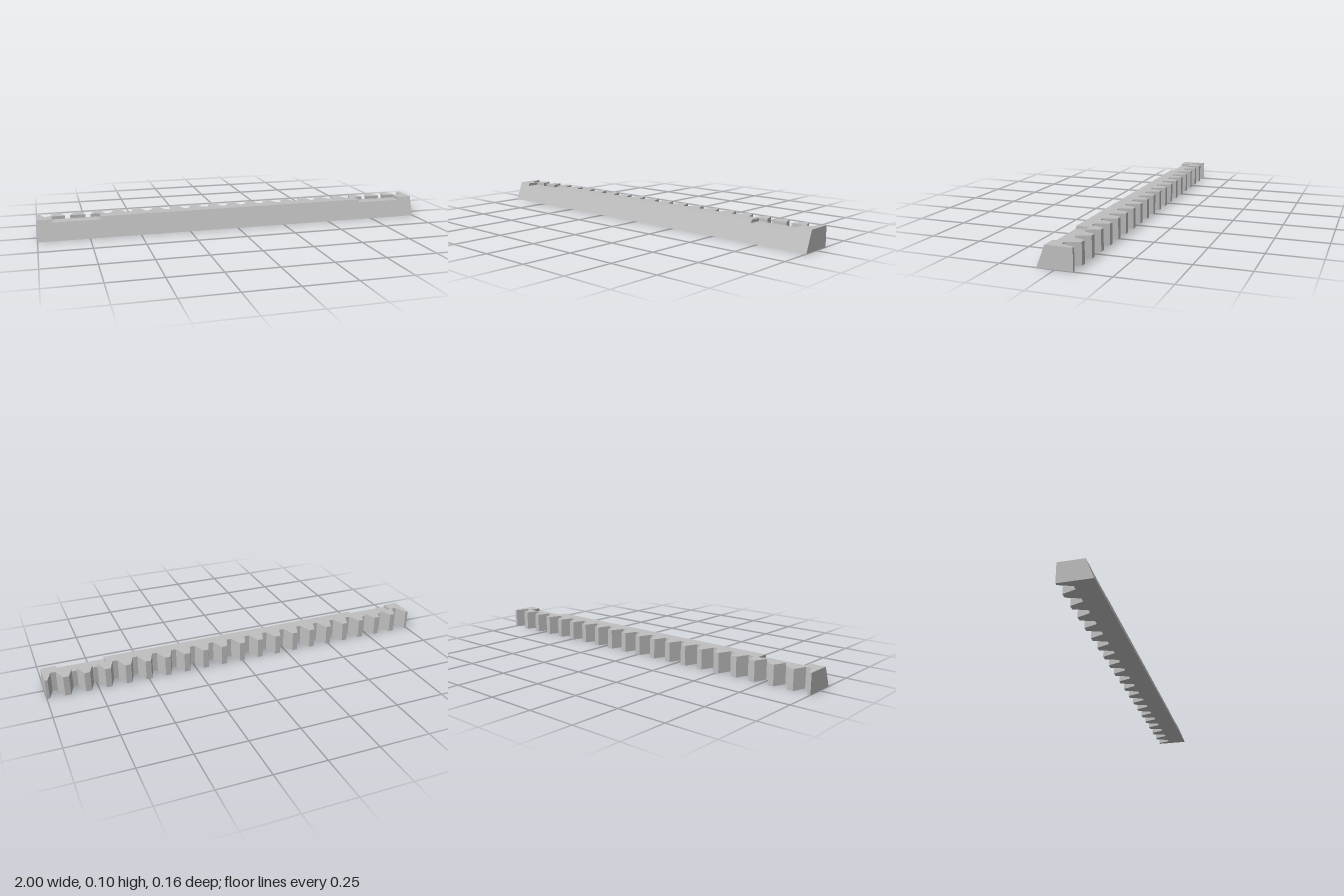
import * as THREE from 'three';

const HEIGHT = 0.1, ROOT_Z = -0.0165, TIP_Z = -0.0815;
const FRONT_BOTTOM = 0.0815, FRONT_TOP = 0.043;
const PITCH = 0.1, TIP_HALF = 0.014, BASE_HALF = 0.0375;

const polygon = (points) => new THREE.Shape(points.map(([x, y]) => new THREE.Vector2(x, y)));

// Bar: front outline with two shallow notches in its top, with the front face leaning back
function barGeometry() {
  const floor = HEIGHT - 0.015, inner = 0.692, outer = 0.926;
  const geometry = new THREE.ExtrudeGeometry(polygon([
    [-1, 0], [1, 0], [1, HEIGHT],
    [outer, HEIGHT], [outer, floor], [inner, floor], [inner, HEIGHT],
    [-inner, HEIGHT], [-inner, floor], [-outer, floor], [-outer, HEIGHT],
    [-1, HEIGHT],
  ]), { depth: 1, bevelEnabled: false });
  const p = geometry.attributes.position;
  for (let i = 0; i < p.count; i++) {
    const front = THREE.MathUtils.lerp(FRONT_BOTTOM, FRONT_TOP, p.getY(i) / HEIGHT);
    p.setZ(i, p.getZ(i) > 0.5 ? front : ROOT_Z);
  }
  geometry.computeVertexNormals();
  return geometry;
}

// Tooth: trapezoid in plan, cut off at the ends of the bar
function toothGeometry(x) {
  const left = Math.max(-1, x - BASE_HALF), right = Math.min(1, x + BASE_HALF);
  const tipLeft = Math.max(-1, x - TIP_HALF), tipRight = Math.min(1, x + TIP_HALF);
  const geometry = new THREE.ExtrudeGeometry(polygon([
    [left, -ROOT_Z], [right, -ROOT_Z], [tipRight, -TIP_Z], [tipLeft, -TIP_Z],
  ]), { depth: HEIGHT, bevelEnabled: false });
  return geometry.rotateX(-Math.PI / 2);
}

export function createModel() {
  const steel = new THREE.MeshStandardMaterial({ color: 0xbfbfbf });
  steel.name = 'lightGrey';

  const model = new THREE.Group();
  model.name = 'gearRack';

  const bar = new THREE.Mesh(barGeometry(), steel);
  bar.name = 'notchedBar';
  model.add(bar);

  // Row of teeth along the back, with half teeth at both ends
  const teeth = new THREE.Group();
  teeth.name = 'teeth';
  for (let i = -10; i <= 10; i++) {
    const tooth = new THREE.Mesh(toothGeometry(i * PITCH), steel);
    tooth.name = 'tooth';
    teeth.add(tooth);
  }
  model.add(teeth);
  return model;
}
